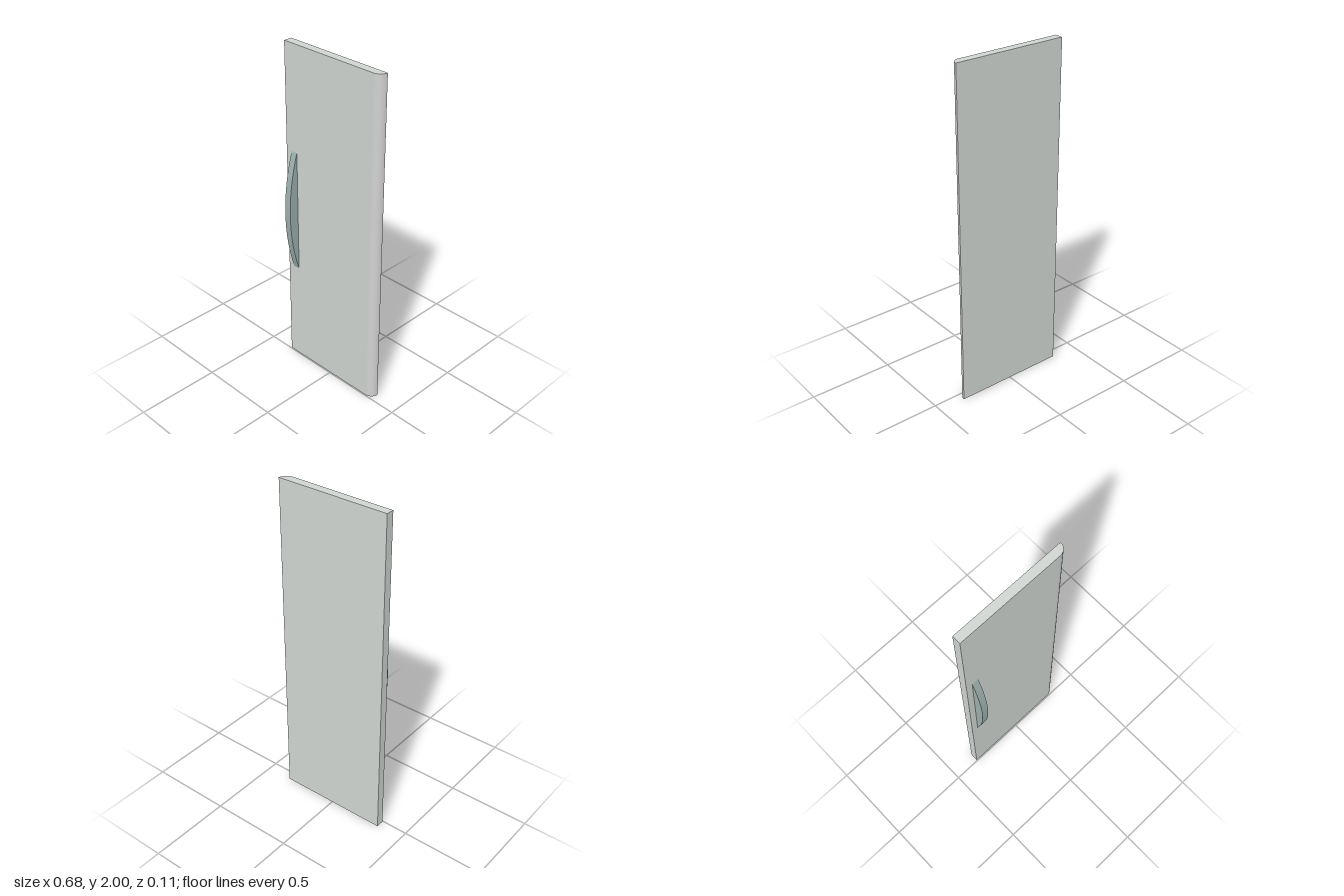
import * as THREE from 'three';

export function createModel() {
  const model = new THREE.Group();
  model.name = 'cabinetDoor';

  const mat = (name, color) => {
    const m = new THREE.MeshStandardMaterial({ color });
    m.name = name;
    return m;
  };
  const panelGrey = mat('panelGrey', 0xd1d6d2);
  const edgeGrey = mat('edgeGrey', 0xd2d2d2);
  const handleGrey = mat('handleGrey', 0x9db0af);

  const add = (name, geometry, material, x, y, z) => {
    const mesh = new THREE.Mesh(geometry, material);
    mesh.name = name;
    mesh.position.set(x, y, z);
    model.add(mesh);
    return mesh;
  };

  const height = 2, halfW = 0.338, depth = 0.049, back = -0.054;
  const roundX = halfW - depth; // where the rounded edge begins

  // Flat door slab
  add('doorPanel', new THREE.BoxGeometry(roundX + halfW, height, depth), panelGrey,
    (roundX - halfW) / 2, height / 2, back + depth / 2);

  // Quarter-round edge: curved side, then both end caps
  add('roundedEdge',
    new THREE.CylinderGeometry(depth, depth, height, 24, 1, false, 0, Math.PI / 2),
    [edgeGrey, panelGrey, panelGrey], roundX, height / 2, back);

  // Back face of the rounded edge
  add('roundedEdgeBack', new THREE.PlaneGeometry(depth, height), panelGrey,
    roundX + depth / 2, height / 2, back).rotation.y = Math.PI;

  // Bow handle: a circular segment extruded across its width
  const halfLen = 0.375, rise = 0.059, handleW = 0.041;
  const radius = (halfLen ** 2 + rise ** 2) / (2 * rise);
  const angle = Math.asin(halfLen / radius);
  const bow = new THREE.Shape();
  bow.absarc(rise - radius, 0, radius, -angle, angle, false);
  bow.closePath();
  const bowGeometry = new THREE.ExtrudeGeometry(bow,
    { depth: handleW, bevelEnabled: false, curveSegments: 48 });
  add('handle', bowGeometry, handleGrey, -0.258, 1.002, back + depth)
    .rotation.y = -Math.PI / 2;

  return model;
}
